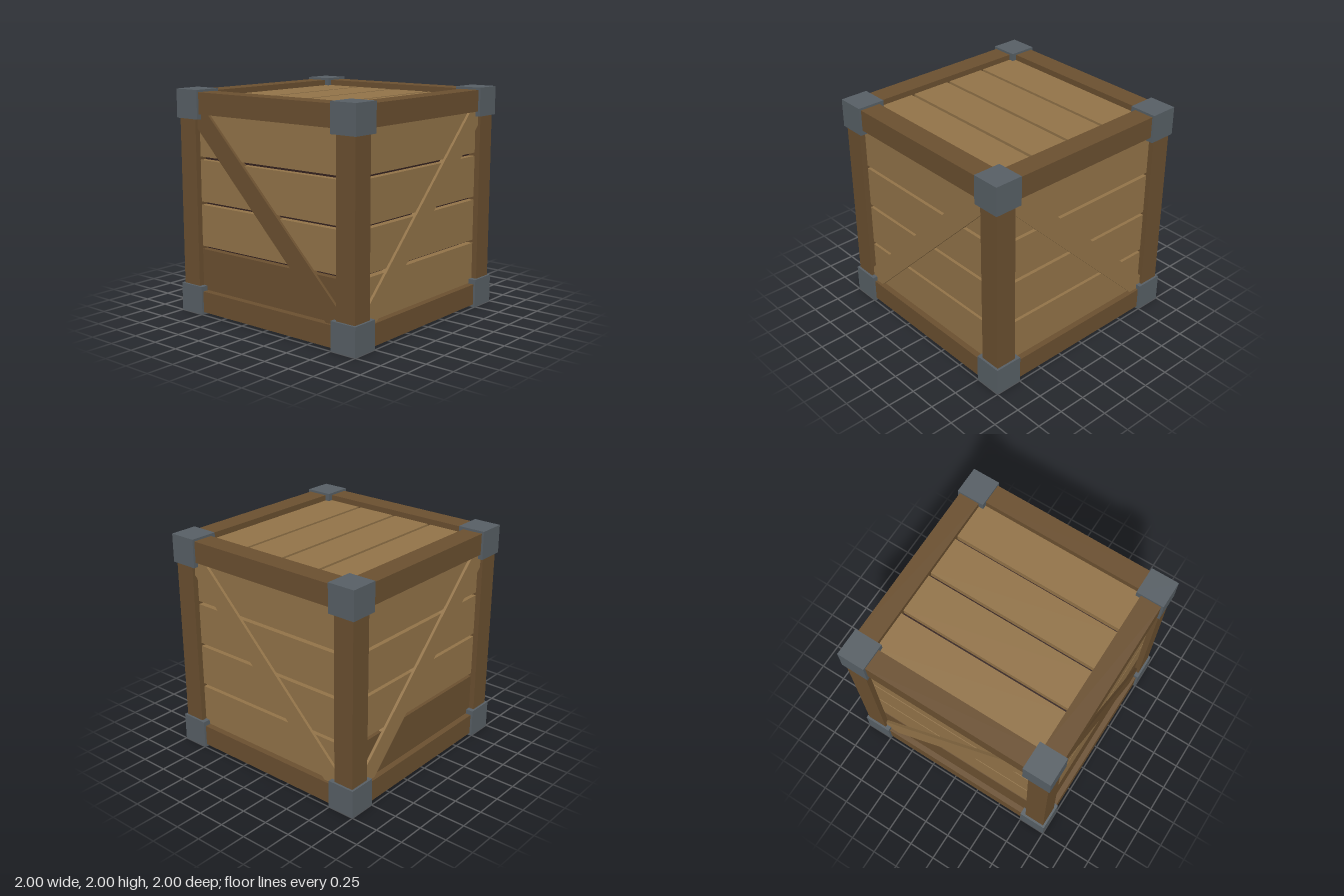
import * as THREE from 'three';

const mat = (name, color) => {
  const m = new THREE.MeshStandardMaterial({ color });
  m.name = name;
  return m;
};

export function createModel() {
  const wood = mat('plankWood', 0x937449);
  const frame = mat('frameWood', 0x6b5030);
  const metal = mat('cornerMetal', 0x586066);
  const dark = mat('darkInterior', 0x35231f);

  const crate = new THREE.Group();
  crate.name = 'crate';
  const body = new THREE.Group();
  body.name = 'crateBody';
  body.position.y = 1;
  crate.add(body);

  const box = (parent, name, material, size, pos) => {
    const mesh = new THREE.Mesh(new THREE.BoxGeometry(...size), material);
    mesh.name = name;
    mesh.position.set(...pos);
    parent.add(mesh);
    return mesh;
  };

  // Dark core seen through the gaps between planks
  box(body, 'core', dark, [1.74, 1.74, 1.74], [0, 0, 0]);

  // Six plank panels, each built facing +z and then turned
  const panels = [
    { name: 'front', rot: [0, 0], brace: 1 },
    { name: 'left', rot: [0, Math.PI / 2], brace: -1 },
    { name: 'back', rot: [0, Math.PI], brace: 1, darkPlank: true },
    { name: 'right', rot: [0, -Math.PI / 2], brace: -1, darkPlank: true, darkBrace: true },
    { name: 'top', rot: [-Math.PI / 2, 0], brace: 0 },
    { name: 'bottom', rot: [Math.PI / 2, 0], brace: 0 },
  ];
  for (const p of panels) {
    const panel = new THREE.Group();
    panel.name = p.name + 'Panel';
    panel.rotation.set(p.rot[0], p.rot[1], 0);
    body.add(panel);
    for (let i = 0; i < 4; i++) {
      const material = p.darkPlank && i === 0 ? frame : wood;
      box(panel, 'plank', material, [1.64, 0.37, 0.07], [0, -0.6 + i * 0.4, 0.895]);
    }
    // Diagonal brace, its ends tucked under the frame
    if (p.brace) {
      const brace = box(panel, 'brace', p.darkBrace ? frame : wood, [2.2, 0.184, 0.05], [0, 0, 0.93]);
      brace.rotation.z = p.brace * Math.PI / 4;
    }
  }

  // Twelve frame beams and eight metal corners
  const mid = 0.885, thick = 0.19, length = 1.6;
  for (const a of [-1, 1]) {
    for (const b of [-1, 1]) {
      box(body, 'railX', frame, [length, thick, thick], [0, a * mid, b * mid]);
      box(body, 'post', frame, [thick, length, thick], [a * mid, 0, b * mid]);
      box(body, 'railZ', frame, [thick, thick, length], [a * mid, b * mid, 0]);
      for (const c of [-1, 1]) {
        box(body, 'cornerBlock', metal, [0.254, 0.254, 0.254], [a * 0.873, b * 0.873, c * 0.873]);
      }
    }
  }
  return crate;
}
